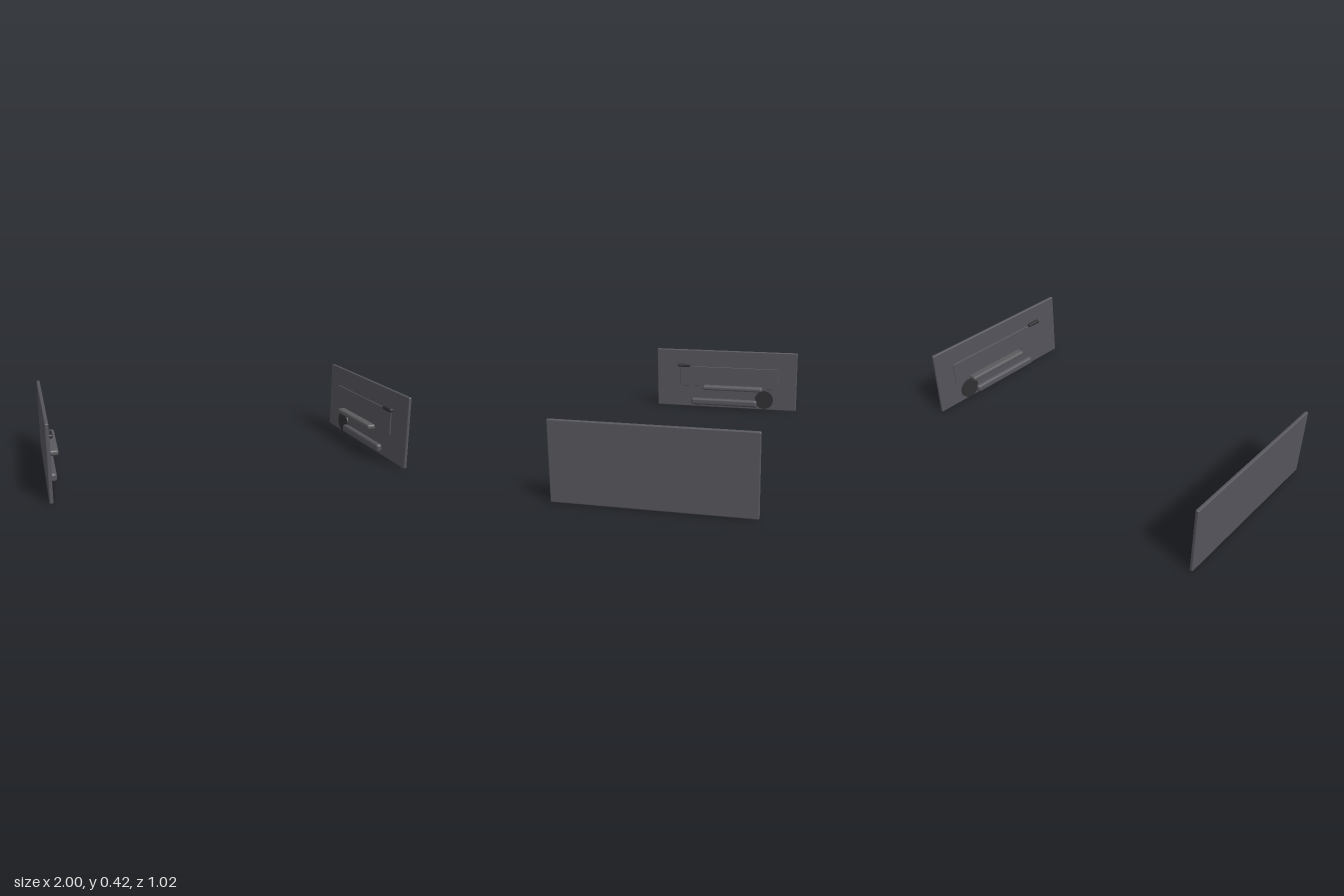
import * as THREE from 'three';
import { RoundedBoxGeometry } from 'three/addons/geometries/RoundedBoxGeometry.js';

const flat = (name, color) => {
  const m = new THREE.MeshStandardMaterial({ color });
  m.name = name;
  return m;
};

export function createModel() {
  const charcoal = flat('charcoal trim', 0x55545b);
  const grey = flat('soft grey', 0x5a5a5e);
  const dark = flat('dark plastic', 0x303033);

  const model = new THREE.Group();
  model.name = 'doorPanels';

  // Builds one door panel; side is +1 (left) or -1 (right), fittings face inwards
  function doorPanel(side) {
    const door = new THREE.Group();
    door.name = side > 0 ? 'leftDoorPanel' : 'rightDoorPanel';

    // Softened block given by its [min, max] on each axis
    const block = (name, x, y, z, radius, material) => {
      const geometry = new RoundedBoxGeometry(x[1] - x[0], y[1] - y[0], z[1] - z[0], 2, radius);
      const mesh = new THREE.Mesh(geometry, material);
      mesh.position.set(side * (x[0] + x[1]) / 2, (y[0] + y[1]) / 2, (z[0] + z[1]) / 2);
      mesh.name = name;
      door.add(mesh);
    };

    block('panel', [0.98, 1], [0, 0.42], [-0.51, 0.51], 0.007, charcoal);
    block('insert', [0.973, 0.985], [0.155, 0.3], [-0.38, 0.335], 0.003, charcoal);
    block('armrest', [0.923, 0.978], [0.138, 0.17], [-0.27, 0.16], 0.012, grey);
    block('mapPocket', [0.943, 0.982], [0.02, 0.07], [-0.23, 0.25], 0.016, charcoal);
    block('doorHandle', [0.957, 0.982], [0.295, 0.316], [0.26, 0.352], 0.008, dark);

    // Round speaker grille low at the back
    const speaker = new THREE.Mesh(new THREE.CylinderGeometry(0.065, 0.065, 0.014, 32), dark);
    speaker.rotation.z = Math.PI / 2;
    speaker.position.set(side * 0.977, 0.075, -0.28);
    speaker.name = 'speaker';
    door.add(speaker);
    return door;
  }

  for (const side of [1, -1]) model.add(doorPanel(side));
  return model;
}
